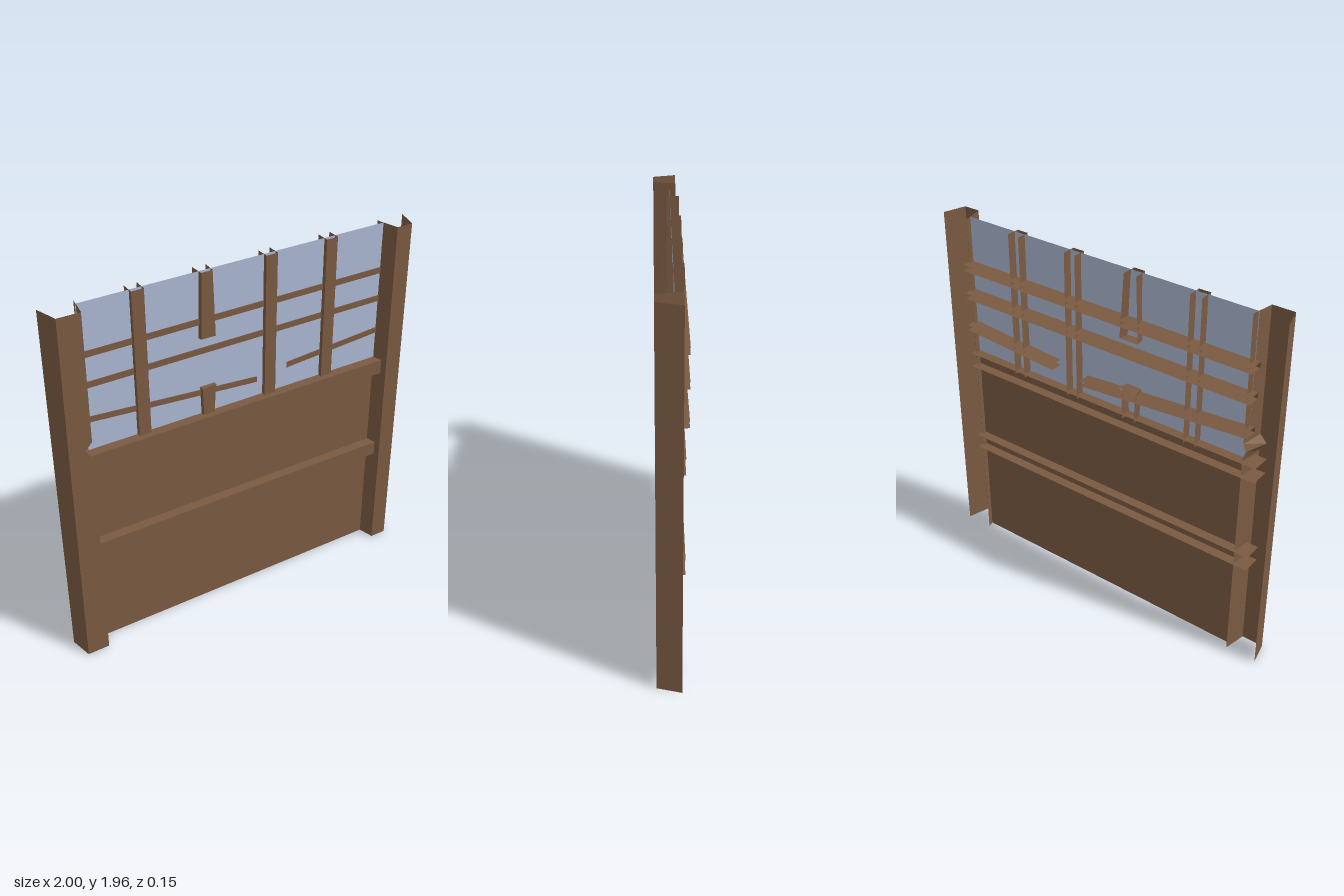
import * as THREE from 'three';

const wood = new THREE.MeshStandardMaterial({ color: 0x7a5a42, side: THREE.DoubleSide });
wood.name = 'brown frame';
const pane = new THREE.MeshStandardMaterial({ color: 0xabb6d1, side: THREE.DoubleSide });
pane.name = 'pale blue glass';

// Flat-shaded sheet joining successive open cross-sections (arrays of [x, y, z])
function sheet(name, sections, material = wood) {
  const p = [];
  for (let i = 0; i + 1 < sections.length; i++) {
    const a = sections[i], b = sections[i + 1];
    for (let j = 0; j + 1 < a.length; j++) {
      p.push(...a[j], ...a[j + 1], ...b[j + 1], ...a[j], ...b[j + 1], ...b[j]);
    }
  }
  const g = new THREE.BufferGeometry();
  g.setAttribute('position', new THREE.Float32BufferAttribute(p, 3));
  g.computeVertexNormals();
  const mesh = new THREE.Mesh(g, material);
  mesh.name = name;
  return mesh;
}

// Upright channel: rows of [y, backLeft, frontLeft, frontRight, backRight]
function upright(name, rows, front, back) {
  return sheet(name, rows.map(([y, a, b, c, d]) =>
    [[a, y, back], [b, y, front], [c, y, front], [d, y, back]]));
}

// Horizontal channel, open at the back, running between two points
function bar(name, x0, y0, x1, y1, h, front, back) {
  const end = (x, y) => [[x, y + h / 2, back], [x, y + h / 2, front],
    [x, y - h / 2, front], [x, y - h / 2, back]];
  return sheet(name, [end(x0, y0), end(x1, y1)]);
}

export function createModel() {
  const model = new THREE.Group();
  model.name = 'partitionWall';
  const H = 1.96;

  // Panel and glass
  const plane = (name, y0, y1, mat) => sheet(name,
    [y0, y1].map(y => [[-0.835, y, -0.013], [0.853, y, -0.013]]), mat);
  model.add(plane('lowerPanel', 0, 1.17, wood));
  model.add(plane('glass', 1.17, H, pane));

  // Side posts; the right one is dented on its inner edge
  model.add(upright('rightPost', [
    [0, -1, -0.973, -0.855, -0.83],
    [1.2, -1, -0.968, -0.85, -0.83],
    [1.25, -1, -0.968, -0.885, -0.845],
    [1.29, -1, -0.968, -0.848, -0.83],
    [H, -1, -0.963, -0.845, -0.825],
  ], 0.072, -0.05));
  model.add(upright('leftPost', [0, H].map(y => [y, 0.842, 0.874, 0.965, 1]), 0.072, -0.05));

  // Heavy rails over the lower panel
  for (const y of [1.15, 0.62]) {
    model.add(bar('rail', -0.91, y, 0.865, y, 0.08, 0.04, -0.065));
  }

  // Whole upright glazing bars
  for (const x of [-0.542, 0.172, 0.522]) {
    const l = x - 0.032, r = x + 0.032;
    model.add(upright('uprightBar', [1.17, H].map(y => [y, l, l, r, r]), 0.01, -0.062));
  }

  // Broken upright bar: two flared stubs, each closed at the break
  const stub = (name, y0, y1, tip) => {
    const rows = [[y0, -0.22, -0.215, -0.155, -0.15], [tip, -0.235, -0.222, -0.143, -0.128]];
    if (y1 !== undefined) rows.splice(1, 0, [y1, -0.225, -0.22, -0.148, -0.14]);
    model.add(upright(name, rows, 0.01, -0.065));
    model.add(sheet(name + 'Cap', [
      [[-0.235, tip, -0.065], [-0.128, tip, -0.065]],
      [[-0.222, tip, 0.01], [-0.143, tip, 0.01]],
    ]));
  };
  stub('upperStub', H, undefined, 1.615);
  stub('lowerStub', 1.17, 1.325, 1.343);

  // Whole cross bars
  for (const y of [1.701, 1.542]) {
    model.add(bar('crossBar', -0.86, y, 0.86, y, 0.032, -0.008, -0.08));
  }
  // Snapped and sagging cross bar
  model.add(bar('brokenCrossBarRight', -0.86, 1.361, 0.105, 1.286, 0.03, -0.008, -0.08));
  model.add(bar('brokenCrossBarLeft', 0.283, 1.314, 0.86, 1.356, 0.03, -0.008, -0.08));

  return model;
}
